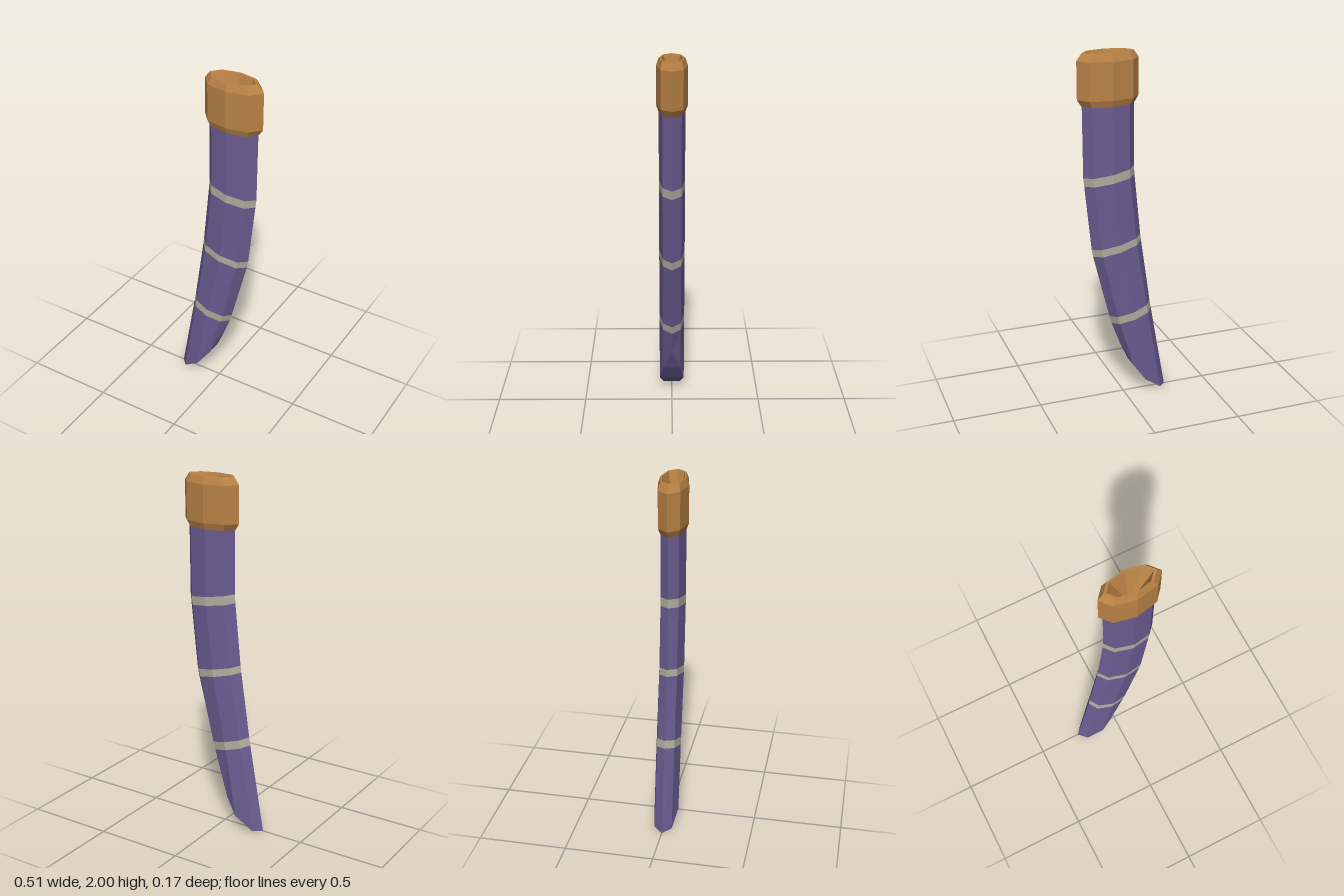
import * as THREE from 'three';

const SIDES = 8;

const makeMaterial = (name, color) => {
  const m = new THREE.MeshStandardMaterial({ color, flatShading: true });
  m.name = name;
  return m;
};

// Elliptical octagon whose left and right ends may sit at different heights
function ring(xl, yl, xr, yr, rz) {
  return Array.from({ length: SIDES }, (_, i) => {
    const a = (i / SIDES) * Math.PI * 2;
    const t = (Math.cos(a) + 1) / 2;
    return new THREE.Vector3(xl + (xr - xl) * t, yl + (yr - yl) * t, -rz * Math.sin(a));
  });
}

// Quads joining successive rings, listed from bottom to top
function loft(rings) {
  const quads = [];
  for (let r = 0; r < rings.length - 1; r++) {
    const b = rings[r], t = rings[r + 1];
    for (let i = 0; i < SIDES; i++) {
      const j = (i + 1) % SIDES;
      quads.push([b[i], b[j], t[j], t[i]]);
    }
  }
  return quads;
}

function quadMesh(name, quads, material) {
  const pos = [];
  const tri = (a, b, c) => {
    if (a.equals(b) || b.equals(c) || a.equals(c)) return;
    for (const p of [a, b, c]) pos.push(p.x, p.y, p.z);
  };
  for (const [a, b, c, d] of quads) {
    tri(a, b, c);
    tri(a, c, d);
  }
  const geo = new THREE.BufferGeometry();
  geo.setAttribute('position', new THREE.Float32BufferAttribute(pos, 3));
  geo.computeVertexNormals();
  const mesh = new THREE.Mesh(geo, material);
  mesh.name = name;
  return mesh;
}

export function createModel() {
  const group = new THREE.Group();
  group.name = 'scabbard';
  const purple = makeMaterial('purple leather', 0x6c5c92);
  const pale = makeMaterial('pale binding', 0xb2ad9e);
  const brown = makeMaterial('brown collar', 0xba8346);

  // Slanted tip: each corner of the octagon is cut along a curved profile
  const tipProfile = [[0.02, 0.31], [-0.045, 0.18], [-0.113, 0.085], [-0.212, 0.01], [-0.256, 0]];
  const tip = ring(0, 0, 0, 0, 0.07).map((p, i) => {
    const [x, y] = tipProfile[Math.min(i, SIDES - i)];
    return new THREE.Vector3(x, y, p.z);
  });

  // Body cross-sections, leaning further towards the tip
  const sections = [
    [-0.167, 0.51, 0.07, 0.445], [-0.159, 0.557, 0.083, 0.49],
    [-0.105, 0.93, 0.176, 0.866], [-0.1, 0.97, 0.184, 0.91],
    [-0.065, 1.32, 0.222, 1.278], [-0.062, 1.37, 0.227, 1.326],
    [-0.062, 1.73, 0.23, 1.73],
  ].map(([xl, yl, xr, yr]) => ring(xl, yl, xr, yr, 0.07));
  const rings = [tip, ...sections];

  // Alternate leather lengths and binding bands
  for (let i = 0; i < rings.length - 1; i++) {
    const isBand = i % 2 === 1;
    const name = (isBand ? 'band' : 'sheath') + (Math.floor(i / 2) + 1);
    group.add(quadMesh(name, loft([rings[i], rings[i + 1]]), isBand ? pale : purple));
  }

  // Faces closing the tip, strip by strip across the thickness
  const cap = [];
  for (let k = 0; k < SIDES / 2; k++) {
    cap.push([tip[(SIDES - k) % SIDES], tip[SIDES - 1 - k], tip[k + 1], tip[k]]);
  }
  group.add(quadMesh('tipCap', cap, purple));

  // Collar: chamfered outside, narrow rim, hollow tapering to a point
  const collar = [
    [0.13, 1.72, 0.06], [0.148, 1.72, 0.071], [0.171, 1.755, 0.083], [0.171, 1.96, 0.083],
    [0.142, 2, 0.069], [0.125, 2, 0.06], [0, 1.75, 0],
  ].map(([rx, y, rz]) => ring(0.085 - rx, y, 0.085 + rx, y, rz));
  group.add(quadMesh('collar', loft(collar), brown));

  return group;
}
